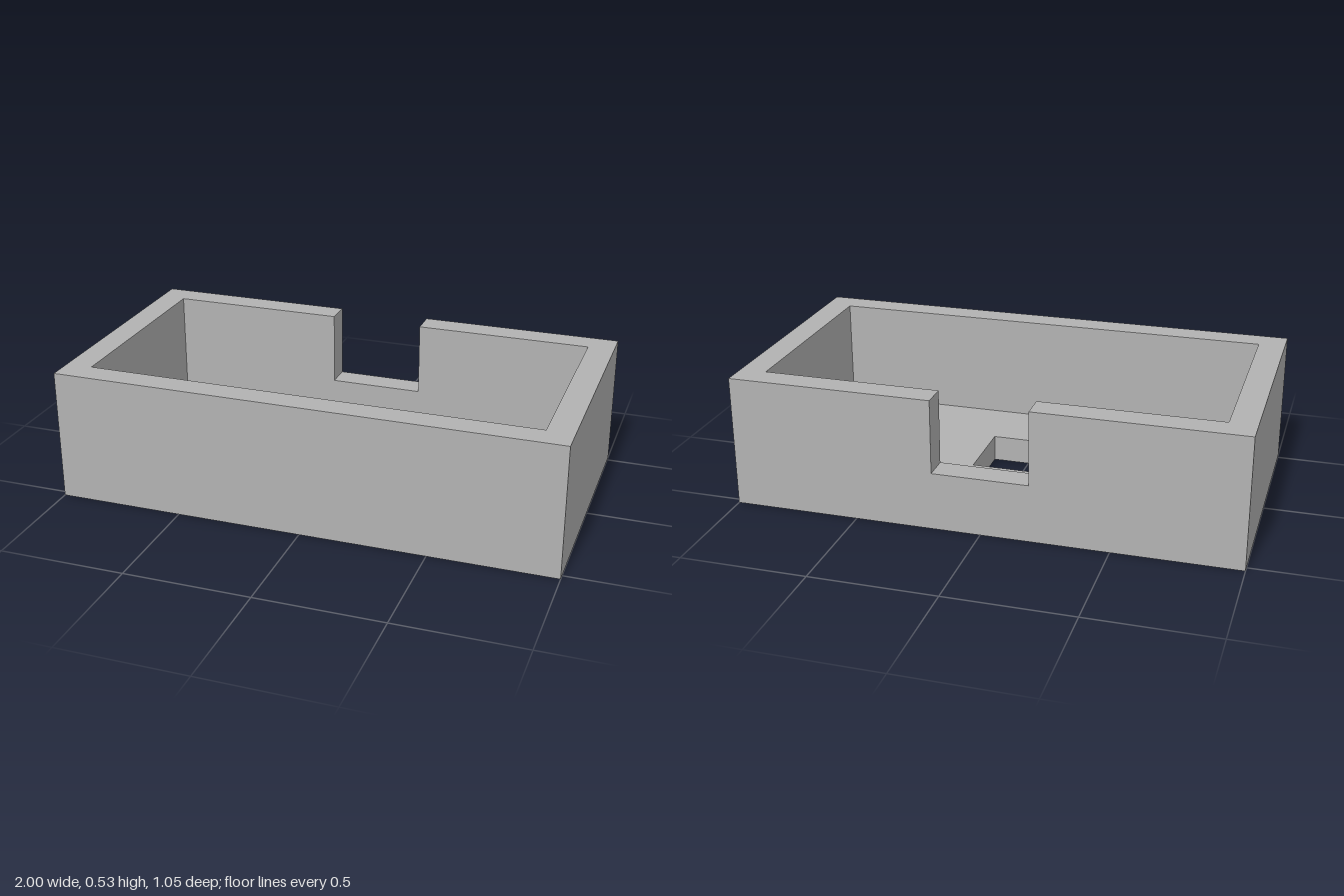
import * as THREE from 'three';

const U = 2 / 95; // one design unit
const LENGTH = 95 * U, DEPTH = 50 * U, HEIGHT = 25 * U, WALL = 5 * U;
const HOLE = 14 * U, NOTCH_W = 18 * U, NOTCH_D = 14 * U;

// Closed polygon centred on the origin
function rect(w, d, Kind = THREE.Shape) {
  const x = w / 2, y = d / 2;
  return new Kind([[-x, -y], [x, -y], [x, y], [-x, y]].map(p => new THREE.Vector2(...p)));
}

function extrude(shape, depth) {
  return new THREE.ExtrudeGeometry(shape, { depth, bevelEnabled: false });
}

export function createModel() {
  const group = new THREE.Group();
  group.name = 'openTray';
  const grey = new THREE.MeshStandardMaterial({ color: 0xb2b2b2 });
  grey.name = 'plain grey';

  const add = (name, geometry, x, y, z) => {
    const mesh = new THREE.Mesh(geometry, grey);
    mesh.name = name;
    mesh.position.set(x, y, z);
    group.add(mesh);
  };

  // Floor slab with a square opening
  const floor = rect(LENGTH, DEPTH);
  floor.holes.push(rect(HOLE, HOLE, THREE.Path));
  add('floor', extrude(floor, WALL).rotateX(-Math.PI / 2), 0, 0, 0);

  // Front wall and the two end walls
  const wallH = HEIGHT - WALL, midY = WALL + wallH / 2;
  add('frontWall', new THREE.BoxGeometry(LENGTH, wallH, WALL), 0, midY, (DEPTH - WALL) / 2);
  for (const [name, side] of [['leftWall', 1], ['rightWall', -1]]) {
    add(name, new THREE.BoxGeometry(WALL, wallH, DEPTH - 2 * WALL), side * (LENGTH - WALL) / 2, midY, 0);
  }

  // Back wall, notched down from its top edge
  const x = LENGTH / 2, n = NOTCH_W / 2, low = HEIGHT - NOTCH_D;
  const back = new THREE.Shape([
    [-x, WALL], [x, WALL], [x, HEIGHT], [n, HEIGHT], [n, low], [-n, low], [-n, HEIGHT], [-x, HEIGHT],
  ].map(p => new THREE.Vector2(...p)));
  add('backWall', extrude(back, WALL), 0, 0, -DEPTH / 2);

  return group;
}
